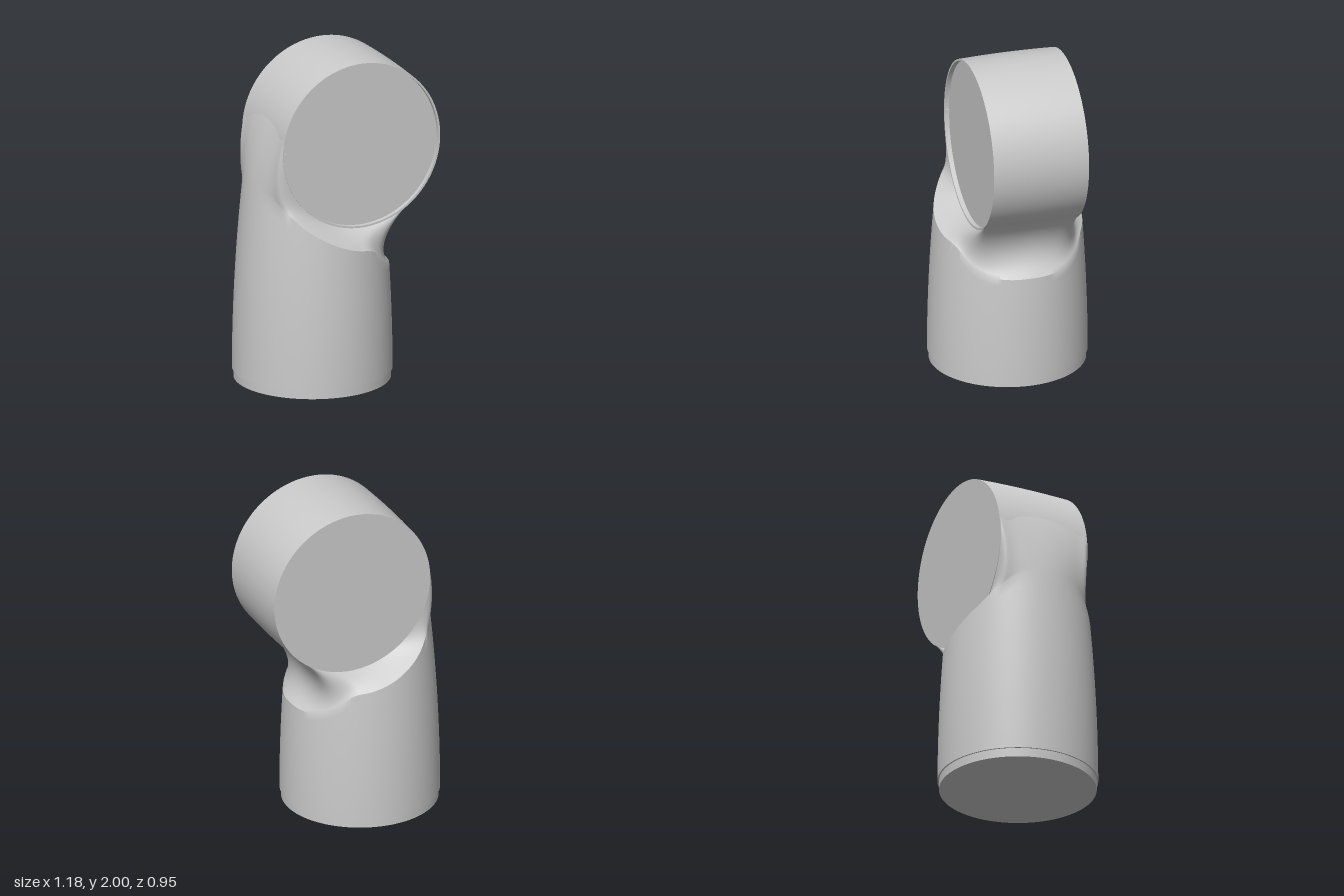
import * as THREE from 'three';
import { toCreasedNormals } from 'three/addons/utils/BufferGeometryUtils.js';

const BASE_X = -0.115;
const HUB = new THREE.Vector2(0.073, 1.485);
const HALF_WIDTH = 0.293;

// Every 15 degrees from the +x side round to -x:
// shoulder height, angle on the drum (degrees), depth on the drum
const RIM = new THREE.CatmullRomCurve3([
  [0.69, -50, 0], [0.69, -50, 0.16], [0.705, -52, 0.27], [0.757, -60, 0.29],
  [0.85, -78, 0.29], [0.878, -94, 0.29], [0.915, -107, 0.29], [0.97, -118, 0.29],
  [1.04, -129, 0.29], [1.13, -147, 0.29], [1.2, -198, 0.288], [1.24, -209, 0.16],
  [1.26, -212, 0],
].map((p) => new THREE.Vector3(...p)), false, 'catmullrom', 0.5);

const wallRadius = (y) => 0.475 - 0.042 * y * y;
// The drum swells slightly towards the middle of its width
const drumRadius = (z) => 0.515 - 0.006 * (z / HALF_WIDTH) ** 2;

// One upright strip of the housing: wall up to the shoulder, then neck to the drum
function column(theta) {
  const side = theta > Math.PI ? -1 : 1;
  const half = theta > Math.PI ? 2 * Math.PI - theta : theta;
  const key = RIM.getPoint(half / Math.PI);
  const at = (r, y) => new THREE.Vector3(BASE_X + r * Math.cos(half), y, side * r * Math.sin(half));
  const points = [at(0.46, 0.055)];
  const wallSteps = 14;
  for (let j = 0; j <= wallSteps; j++) {
    const y = THREE.MathUtils.lerp(0.055, key.x, j / wallSteps);
    points.push(at(wallRadius(y), y));
  }
  const start = points[points.length - 1];
  const phi = THREE.MathUtils.degToRad(key.y);
  const z = THREE.MathUtils.clamp(key.z, 0, 0.29);
  const r = drumRadius(z) - 0.001;
  const end = new THREE.Vector3(HUB.x + r * Math.cos(phi), HUB.y + r * Math.sin(phi), side * z);
  // Hollow under the drum on +x, slight swell on -x, both running tangent into the drum
  const c = Math.cos(half);
  const [low, high, lift] = c > 0 ? [0.185, 0.08, 0.05] : [0.03, 0.033, 0];
  const neck = new THREE.CubicBezierCurve3(
    start,
    start.clone().lerp(end, 1 / 3).add(new THREE.Vector3(-low * c * c, 0, 0)),
    start.clone().lerp(end, 2 / 3).add(new THREE.Vector3(-high * c * c, lift * c * c, 0)),
    end);
  const neckSteps = 18;
  for (let j = 1; j <= neckSteps; j++) points.push(neck.getPoint(j / neckSteps));
  return points;
}

function housingGeometry() {
  const around = 180;
  const positions = [];
  const index = [];
  let rows = 0;
  for (let i = 0; i < around; i++) {
    const points = column((i / around) * Math.PI * 2);
    rows = points.length;
    points.forEach((p) => positions.push(p.x, p.y, p.z));
  }
  for (let i = 0; i < around; i++) {
    for (let j = 0; j < rows - 1; j++) {
      const a = i * rows + j;
      const b = ((i + 1) % around) * rows + j;
      index.push(a, a + 1, b, b, a + 1, b + 1);
    }
  }
  const geometry = new THREE.BufferGeometry();
  geometry.setAttribute('position', new THREE.Float32BufferAttribute(positions, 3));
  geometry.setIndex(index);
  return toCreasedNormals(geometry, THREE.MathUtils.degToRad(35));
}

// Barrelled drum, with a shallow recess inside the front rim
function drumGeometry() {
  const profile = [new THREE.Vector2(0, -HALF_WIDTH)];
  for (let i = -4; i <= 4; i++) {
    const z = (HALF_WIDTH * i) / 4;
    profile.push(new THREE.Vector2(drumRadius(z), z));
  }
  profile.push(
    new THREE.Vector2(0.497, HALF_WIDTH),
    new THREE.Vector2(0.497, 0.265),
    new THREE.Vector2(0, 0.265));
  const geometry = new THREE.LatheGeometry(profile, 128);
  geometry.rotateX(Math.PI / 2);
  return toCreasedNormals(geometry, THREE.MathUtils.degToRad(28));
}

export function createModel() {
  const model = new THREE.Group();
  model.name = 'armJoint';
  const grey = new THREE.MeshStandardMaterial({ color: 0xcacaca });
  grey.name = 'grey';

  const add = (name, geometry, x = 0, y = 0, z = 0) => {
    const mesh = new THREE.Mesh(geometry, grey);
    mesh.name = name;
    mesh.position.set(x, y, z);
    model.add(mesh);
  };

  add('baseRing', new THREE.CylinderGeometry(0.466, 0.466, 0.06, 128), BASE_X, 0.03, 0);
  add('housing', housingGeometry());
  add('drum', drumGeometry(), HUB.x, HUB.y, 0);
  // Small locating key inside the front rim
  add('rimKey', new THREE.BoxGeometry(0.016, 0.02, 0.026), HUB.x - 0.495, HUB.y, 0.278);
  return model;
}
